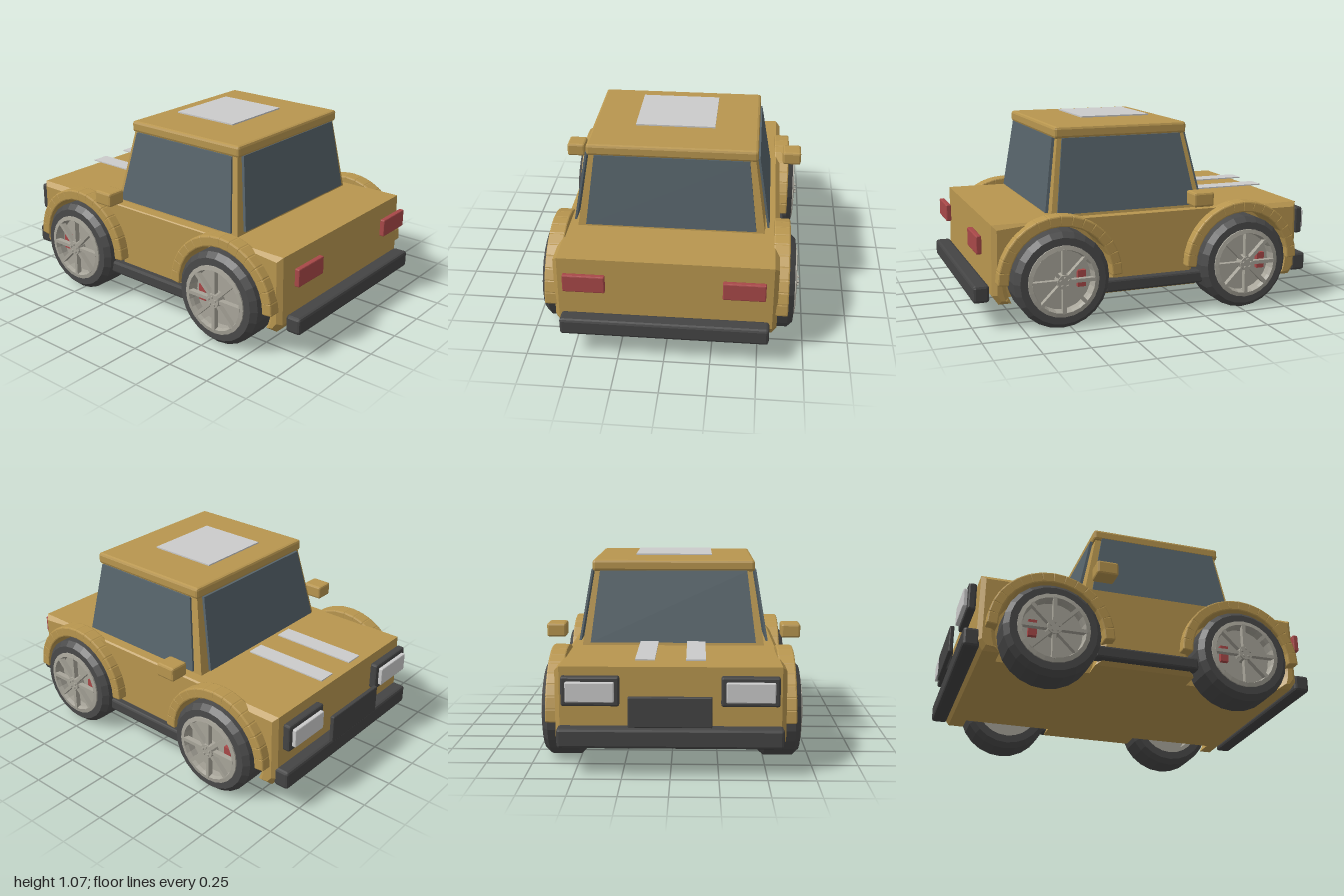
import * as THREE from 'three';
import { RoundedBoxGeometry } from 'three/addons/geometries/RoundedBoxGeometry.js';

const mat = (color) => new THREE.MeshStandardMaterial({ color, flatShading: true });

export function createModel() {
  const paint = mat(0xb8964f), dark = mat(0x444444), tyreMat = mat(0x4a4a4a), glass = mat(0x56636a);
  const red = mat(0xa84848), grey = mat(0xcccccc), rimMat = mat(0xa8a59a);
  const car = new THREE.Group();
  car.name = 'car';

  const add = (name, geometry, material, parent = car) => {
    const mesh = new THREE.Mesh(geometry, material);
    mesh.name = name;
    parent.add(mesh);
    return mesh;
  };
  // Box given by its limits on each axis, with optional softened edges
  const block = (name, [x0, x1], [y0, y1], [z0, z1], material, r = 0, parent = car) => {
    const size = [x1 - x0, y1 - y0, z1 - z0];
    const g = r ? new RoundedBoxGeometry(...size, 1, r) : new THREE.BoxGeometry(...size);
    g.translate((x0 + x1) / 2, (y0 + y1) / 2, (z0 + z1) / 2);
    return add(name, g, material, parent);
  };
  // Box whose bottom and top rectangles [x0, x1, z0, z1] differ
  const taper = (name, y0, y1, bottom, top, material) => {
    const g = new THREE.BoxGeometry(1, 1, 1), p = g.attributes.position;
    for (let i = 0; i < p.count; i++) {
      const up = p.getY(i) > 0, r = up ? top : bottom;
      p.setXYZ(i, r[p.getX(i) > 0 ? 1 : 0], up ? y1 : y0, r[p.getZ(i) > 0 ? 3 : 2]);
    }
    g.computeVertexNormals();
    return add(name, g, material);
  };

  const wheelZ = [-0.525, 0.545], wheelY = 0.265;

  // Lower body: side profile with wheel arches, extruded across the car
  const profile = new THREE.Shape();
  const archR = 0.285, dy = wheelY - 0.14, half = Math.sqrt(archR * archR - dy * dy);
  const a = Math.asin(dy / archR);
  profile.moveTo(-0.87, 0.14);
  for (const z of wheelZ) {
    profile.lineTo(z - half, 0.14);
    profile.absarc(z, wheelY, archR, Math.PI + a, -a, true);
  }
  profile.lineTo(0.87, 0.14);
  profile.lineTo(0.905, 0.19);
  profile.lineTo(0.9, 0.57);
  profile.lineTo(-0.9, 0.57);
  profile.lineTo(-0.905, 0.19);
  profile.closePath();
  const bevel = 0.025;
  const bodyGeo = new THREE.ExtrudeGeometry(profile, {
    depth: 1.2 - 2 * bevel, bevelThickness: bevel, bevelSize: bevel, bevelOffset: -bevel,
    bevelSegments: 1, curveSegments: 16,
  });
  bodyGeo.translate(0, 0, -0.6 + bevel).rotateY(-Math.PI / 2);
  add('body', bodyGeo, paint);
  block('underbody', [-0.46, 0.46], [0.14, 0.55], [-0.86, 0.86], paint);

  // Cabin, windows and roof
  taper('cabin', 0.56, 1.0, [-0.52, 0.52, -0.325, 0.56], [-0.45, 0.45, -0.235, 0.5], paint);
  taper('rearWindow', 0.59, 0.99, [-0.47, 0.47, 0.562, 0.578], [-0.42, 0.42, 0.505, 0.521], glass);
  taper('windscreen', 0.59, 0.99, [-0.47, 0.47, -0.35, -0.334], [-0.42, 0.42, -0.26, -0.244], glass);
  for (const s of [-1, 1]) {
    const xs = (x) => (s > 0 ? [x - 0.012, x] : [-x, -x + 0.012]);
    taper('sideWindow', 0.59, 0.99, [...xs(0.542), -0.28, 0.53], [...xs(0.475), -0.205, 0.48], glass);
  }
  block('roof', [-0.465, 0.465], [0.985, 1.05], [-0.25, 0.52], paint, 0.015);
  block('roofPanel', [-0.22, 0.22], [1.066, 1.074], [-0.12, 0.285], grey);

  // Bumpers, plate, lights, stripes, mirrors and sills
  block('rearBumper', [-0.56, 0.56], [0.15, 0.245], [0.912, 1.0], dark, 0.015);
  block('noseBumper', [-0.585, 0.585], [0.155, 0.26], [-0.975, -0.885], dark, 0.015);
  block('nosePlate', [-0.215, 0.215], [0.275, 0.435], [-1.0, -0.975], dark, 0.006);
  for (const s of [-1, 1]) {
    const span = (x0, x1) => (s > 0 ? [x0, x1] : [-x1, -x0]);
    block('tailLight', span(0.31, 0.535), [0.41, 0.51], [0.942, 0.972], red, 0.006);
    block('headlightFrame', span(0.26, 0.56), [0.375, 0.53], [-0.96, -0.915], dark, 0.01);
    block('headlightLens', span(0.285, 0.535), [0.4, 0.505], [-0.982, -0.955], grey, 0.006);
    block('bonnetStripe', span(0.08, 0.182), [0.6, 0.607], [-0.885, -0.39], grey);
    block('mirror', span(0.615, 0.725), [0.612, 0.692], [-0.305, -0.185], paint, 0.012);
    block('sill', span(0.57, 0.64), [0.16, 0.23], [-0.285, 0.295], dark, 0.012);
  }

  // Wheel parts, modelled with the axle along y and turned onto x
  const turned = (points, sides) => new THREE.LatheGeometry(
    points.map(([r, y]) => new THREE.Vector2(r, y)), sides).rotateZ(-Math.PI / 2);
  const tyreGeo = turned([[0.19, -0.11], [0.235, -0.11], [0.263, -0.08], [0.263, 0.08],
    [0.235, 0.11], [0.19, 0.11], [0.185, 0], [0.19, -0.11]], 24);
  const rimGeo = turned([[0.165, -0.1], [0.195, -0.1], [0.195, 0.118], [0.172, 0.122],
    [0.165, 0.1], [0.165, -0.1]], 24);
  const rotorGeo = new THREE.CylinderGeometry(0.166, 0.166, 0.02, 24).rotateZ(Math.PI / 2);
  const hubGeo = new THREE.CylinderGeometry(0.04, 0.045, 0.05, 12).rotateZ(-Math.PI / 2);
  const nutGeo = new THREE.CylinderGeometry(0.007, 0.007, 0.012, 6).rotateZ(Math.PI / 2);

  for (const s of [-1, 1]) {
    for (const z of wheelZ) {
      const wheel = new THREE.Group();
      wheel.name = 'wheel';
      wheel.position.set(s * 0.58, wheelY, z);
      wheel.rotation.y = s > 0 ? 0 : Math.PI;
      car.add(wheel);
      add('tyre', tyreGeo, tyreMat, wheel);
      add('rim', rimGeo, rimMat, wheel);
      add('brakeDisc', rotorGeo, rimMat, wheel).position.x = 0.05;
      add('hub', hubGeo, rimMat, wheel).position.x = 0.105;
      for (let i = 0; i < 8; i++) {
        const t = (i * Math.PI) / 4;
        const spoke = add('spoke', new THREE.BoxGeometry(0.03, 0.15, 0.02), rimMat, wheel);
        spoke.position.set(0.108, Math.cos(t) * 0.1, Math.sin(t) * 0.1);
        spoke.rotation.x = t;
      }
      for (let i = 0; i < 5; i++) {
        const t = (i * Math.PI * 2) / 5;
        add('wheelNut', nutGeo, rimMat, wheel).position.set(0.134, Math.cos(t) * 0.024, Math.sin(t) * 0.024);
      }
      block('brakeCaliper', [0.05, 0.085], [-0.045, 0.045], s > 0 ? [-0.13, -0.085] : [0.085, 0.13],
        red, 0, wheel);

      // Arch flare made of short overlapping segments
      const flare = new THREE.Group();
      flare.name = 'archFlare';
      flare.position.set(s * 0.612, wheelY, z);
      car.add(flare);
      const count = 16;
      for (let i = 0; i < count; i++) {
        const t = (-0.5 + (i + 0.5) / count) * Math.PI;
        const seg = add('flareSegment', new RoundedBoxGeometry(0.09, 0.06, 0.072, 1, 0.008), paint, flare);
        seg.position.set(0, Math.cos(t) * 0.313, Math.sin(t) * 0.313);
        seg.rotation.x = t;
      }
    }
  }
  return car;
}
